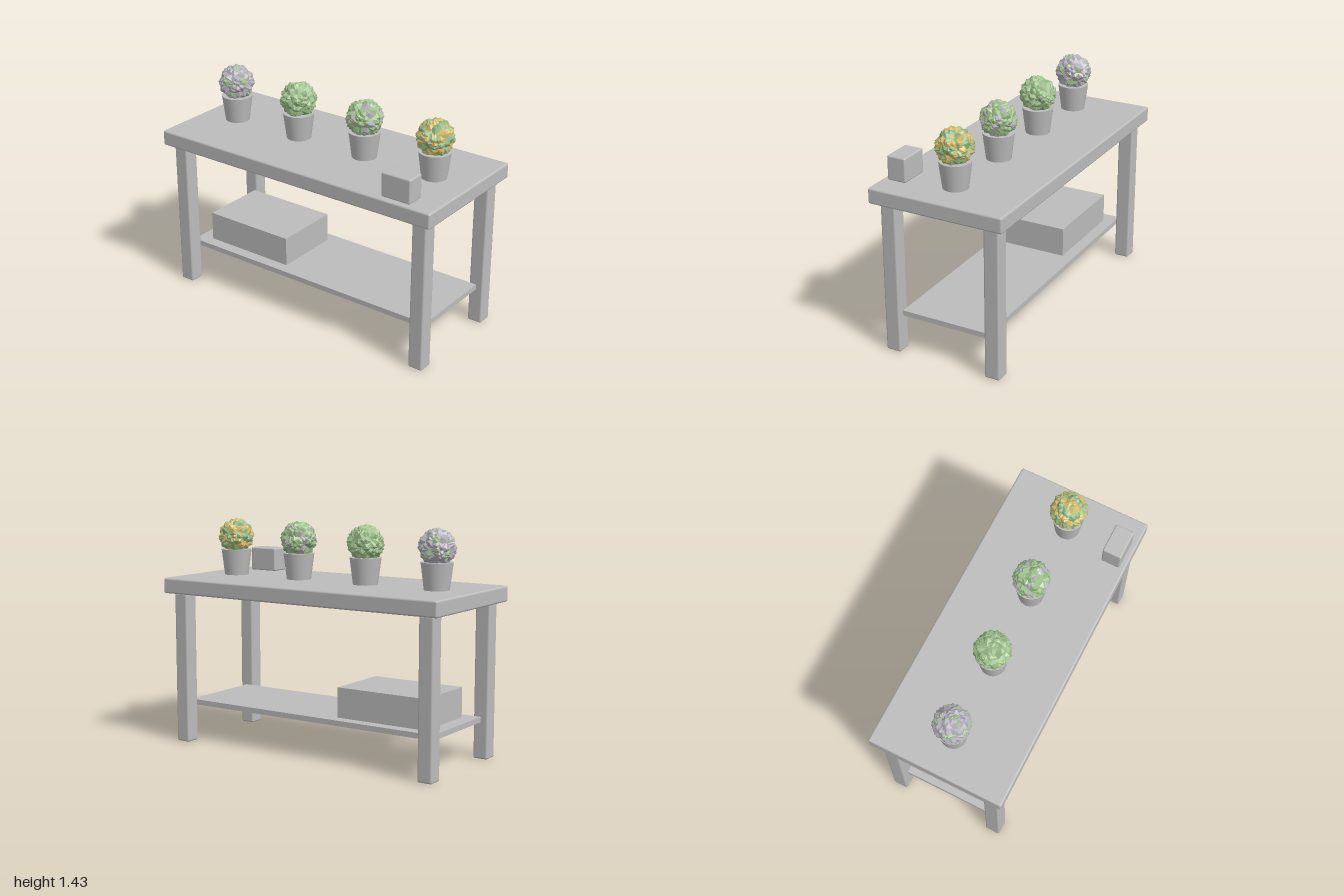
import * as THREE from 'three';
import { RoundedBoxGeometry } from 'three/addons/geometries/RoundedBoxGeometry.js';

const mat = (name, color, flatShading = false) => {
  const m = new THREE.MeshStandardMaterial({ color, flatShading });
  m.name = name;
  return m;
};

export function createModel() {
  const model = new THREE.Group();
  model.name = 'pottingBench';

  const grey = mat('plain grey', 0xbcbcbc);
  const green = mat('leaf green', 0xa4c492, true);
  const deepGreen = mat('deep leaf green', 0x8fb27e, true);
  const lavender = mat('lavender grey', 0xb4b0ba, true);
  const yellow = mat('blossom yellow', 0xd6bd6c, true);

  const add = (parent, name, geometry, material, x, y, z) => {
    const mesh = new THREE.Mesh(geometry, material);
    mesh.name = name;
    mesh.position.set(x, y, z);
    parent.add(mesh);
    return mesh;
  };

  // Table top and four legs with softened edges
  add(model, 'tableTop', new RoundedBoxGeometry(2, 0.098, 0.872, 3, 0.012), grey, 0, 1.016, 0);
  const legGeometry = new RoundedBoxGeometry(0.096, 0.967, 0.098, 3, 0.012);
  for (const x of [-0.903, 0.903]) {
    for (const z of [-0.339, 0.339]) add(model, 'leg', legGeometry, grey, x, 0.4835, z);
  }

  // Lower shelf with a storage box
  add(model, 'shelf', new THREE.BoxGeometry(1.81, 0.034, 0.582), grey, 0, 0.248, 0);
  add(model, 'storageBox', new THREE.BoxGeometry(0.62, 0.19, 0.436), grey, -0.502, 0.358, 0);

  // Small block on the table top
  add(model, 'smallBlock', new RoundedBoxGeometry(0.196, 0.152, 0.122, 3, 0.01), grey, 0.747, 1.14, 0.34);

  // Potted plants: each ball is a cluster of turned, interlocking facets
  const potGeometry = new THREE.CylinderGeometry(0.098, 0.077, 0.165, 32);
  const leafGeometry = new THREE.IcosahedronGeometry(0.118, 0);
  const palettes = [
    [lavender, lavender, green, lavender],
    [green, deepGreen, green, green],
    [green, lavender, deepGreen, green],
    [yellow, green, yellow, deepGreen],
  ];
  palettes.forEach((palette, i) => {
    const plant = new THREE.Group();
    plant.name = 'pottedPlant';
    plant.position.set(-0.75 + i * 0.5, 1.065, 0);
    add(plant, 'pot', potGeometry, grey, 0, 0.0825, 0);
    const foliage = new THREE.Group();
    foliage.name = 'foliage';
    foliage.position.y = 0.25;
    plant.add(foliage);
    for (let k = 0; k < 12; k++) {
      const leaf = add(foliage, 'leafCluster', leafGeometry, palette[k % palette.length], 0, 0, 0);
      leaf.rotation.set(k * 2.399 + i, k * 1.317 + i * 0.7, k * 0.731);
    }
    model.add(plant);
  });

  return model;
}
